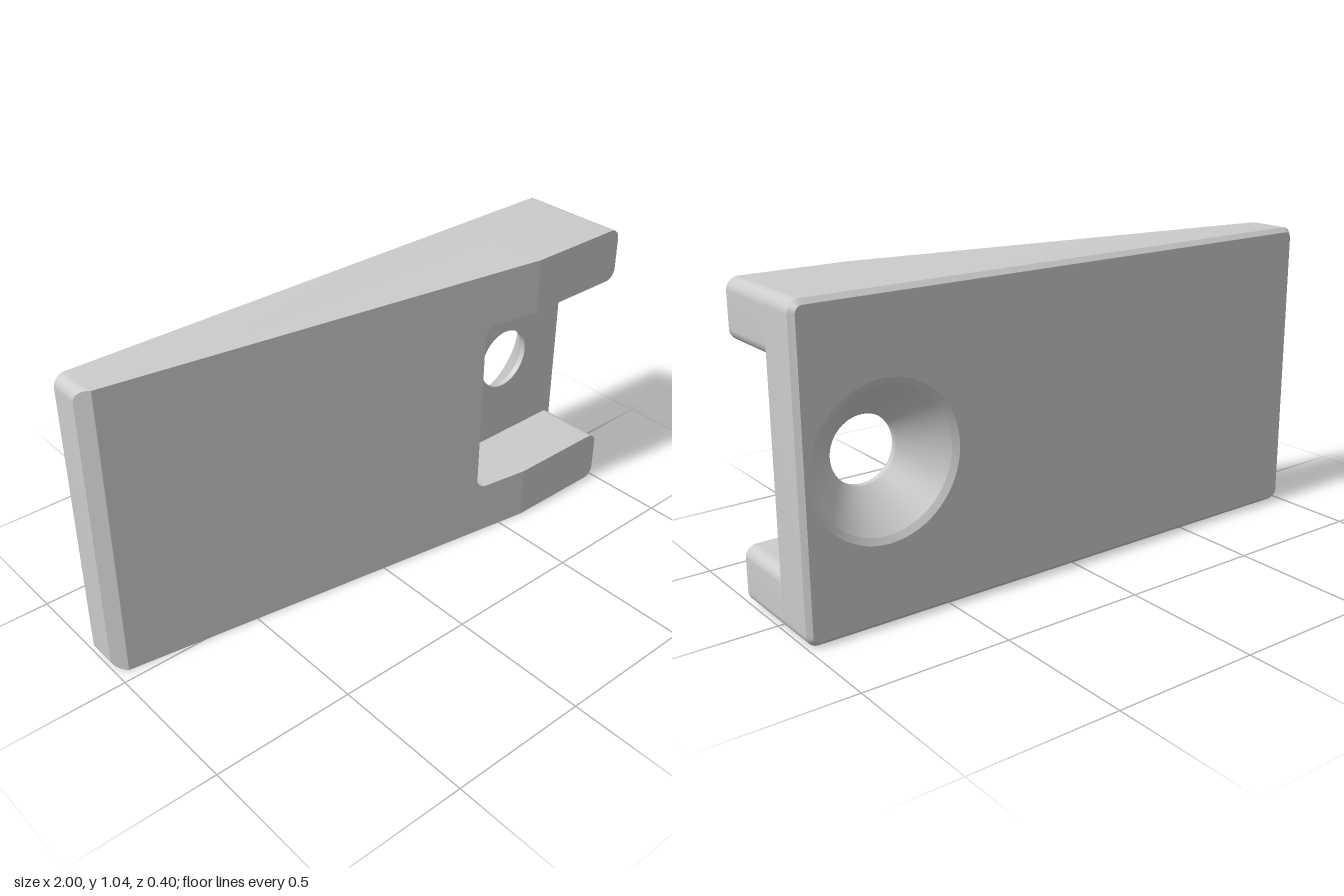
import * as THREE from 'three';
import { toCreasedNormals } from 'three/addons/utils/BufferGeometryUtils.js';

const H = 1.042, MID = H / 2, R = 0.04;        // height, mid height, fillet radius
const BACK = -0.2, FLOOR = -0.04, BEVEL = 0.016;
const NOSE = -0.96, CREST = 0.6;               // x where the ramp starts and ends
const POCKET = { x: 0.39, y0: 0.193, y1: H - 0.193 };
const HOLE_X = 0.715;

// Depth of the front surface: nose chamfer, ramp, flat
function frontZ(x) {
  if (x <= NOSE) return FLOOR + (x - NOSE);
  return Math.min(0.2, FLOOR + 0.24 * (x - NOSE) / (CREST - NOSE));
}

const V = (x, y) => new THREE.Vector2(x, y);

function arc(cx, cy, r, fromDeg, toDeg, n = 16) {
  return Array.from({ length: n + 1 }, (_, i) => {
    const a = THREE.MathUtils.degToRad(fromDeg + (toDeg - fromDeg) * i / n);
    return V(cx + r * Math.cos(a), cy + r * Math.sin(a));
  });
}

// Rounded rectangle, counter-clockwise
function plateOutline(inset) {
  const r = R - inset;
  return [
    ...arc(-1 + R, R, r, 180, 270), ...arc(1 - R, R, r, 270, 360),
    ...arc(1 - R, H - R, r, 0, 90), ...arc(-1 + R, H - R, r, 90, 180),
  ];
}

// Same outline with the pocket cut in from the +x end
function pocketOutline() {
  const { x, y0, y1 } = POCKET;
  return [
    ...arc(-1 + R, R, R, 180, 270), V(CREST, 0), ...arc(1 - R, R, R, 270, 360),
    ...arc(1 - R, y0 - R, R, 0, 90), V(CREST, y0), ...arc(x + R, y0 + R, R, 270, 180),
    ...arc(x + R, y1 - R, R, 180, 90), V(CREST, y1), ...arc(1 - R, y1 + R, R, -90, 0),
    ...arc(1 - R, H - R, R, 0, 90), V(CREST, H), ...arc(-1 + R, H - R, R, 90, 180),
  ];
}

const circle = (r) => arc(HOLE_X, MID, r, 360, 0, 64).slice(0, -1);

// Collects triangles, then gives them normals that keep edges sharp
class Surface {
  constructor() { this.pos = []; }

  tri(a, b, c) {
    const area = new THREE.Triangle(a, b, c).getArea();
    if (area > 1e-9) for (const p of [a, b, c]) this.pos.push(p.x, p.y, p.z);
  }

  // Band between two closed loops; zA and zB give depth from x
  band(loopA, zA, loopB, zB) {
    const at = (loop, z, i) => {
      const p = loop[i % loop.length];
      return new THREE.Vector3(p.x, p.y, z(p.x));
    };
    for (let i = 0; i < loopA.length; i++) {
      const a = at(loopA, zA, i), b = at(loopA, zA, i + 1);
      const c = at(loopB, zB, i + 1), d = at(loopB, zB, i);
      this.tri(a, b, c);
      this.tri(a, c, d);
    }
  }

  // Filled outline, facing +z unless flipped
  cap(points, z, hole = null, flip = false) {
    const shape = new THREE.Shape(points);
    if (hole) shape.holes.push(new THREE.Path(hole));
    const g = new THREE.ShapeGeometry(shape).toNonIndexed().getAttribute('position');
    const at = (i) => new THREE.Vector3(g.getX(i), g.getY(i), z(g.getX(i)));
    for (let i = 0; i < g.count; i += 3) {
      if (flip) this.tri(at(i), at(i + 2), at(i + 1));
      else this.tri(at(i), at(i + 1), at(i + 2));
    }
  }

  mesh(name) {
    const g = new THREE.BufferGeometry();
    g.setAttribute('position', new THREE.Float32BufferAttribute(this.pos, 3));
    const mesh = new THREE.Mesh(toCreasedNormals(g, 0.13), new THREE.MeshStandardMaterial({ color: 0xcccccc }));
    mesh.name = name;
    return mesh;
  }
}

export function createModel() {
  const group = new THREE.Group();
  group.name = 'wedgeBlock';
  const level = (z) => () => z;
  const eps = 1e-6;
  const plate = plateOutline(0), inner = plateOutline(BEVEL), notched = pocketOutline();
  const sink = [[0.257, BACK], [0.236, BACK + 0.013], [0.113, -0.06], [0.113, FLOOR]];

  // Base plate: back face, bevelled back edge and lower side walls
  const base = new Surface();
  base.cap(inner, level(BACK), circle(sink[0][0]), true);
  base.band(inner, level(BACK), plate, level(BACK + BEVEL));
  base.band(plate, level(BACK + BEVEL), plate, (x) => Math.min(frontZ(x), FLOOR));
  group.add(base.mesh('basePlate'));

  // Wedge: upper side walls, pocket walls and front faces
  const wedge = new Surface();
  wedge.band(notched, level(FLOOR), notched, (x) => Math.max(frontZ(x), FLOOR));
  wedge.cap(notched.filter((p) => p.x <= NOSE + eps), frontZ);
  wedge.cap(notched.filter((p) => p.x >= NOSE - eps && p.x <= CREST + eps), frontZ);
  for (const side of [-1, 1]) {
    wedge.cap(notched.filter((p) => p.x >= CREST - eps && (p.y - MID) * side > 0), frontZ);
  }
  group.add(wedge.mesh('wedge'));

  // Pocket floor around the screw hole
  const floor = new Surface();
  const rim = notched.filter((p) => p.x >= POCKET.x - eps
    && p.y >= POCKET.y0 - R - eps && p.y <= POCKET.y1 + R + eps);
  floor.cap(rim, level(FLOOR), circle(sink[3][0]));
  group.add(floor.mesh('pocketFloor'));

  // Countersunk screw hole
  const hole = new Surface();
  for (let i = 0; i < sink.length - 1; i++) {
    const [[r0, z0], [r1, z1]] = [sink[i], sink[i + 1]];
    hole.band(circle(r0), level(z0), circle(r1), level(z1));
  }
  group.add(hole.mesh('screwHole'));

  return group;
}
